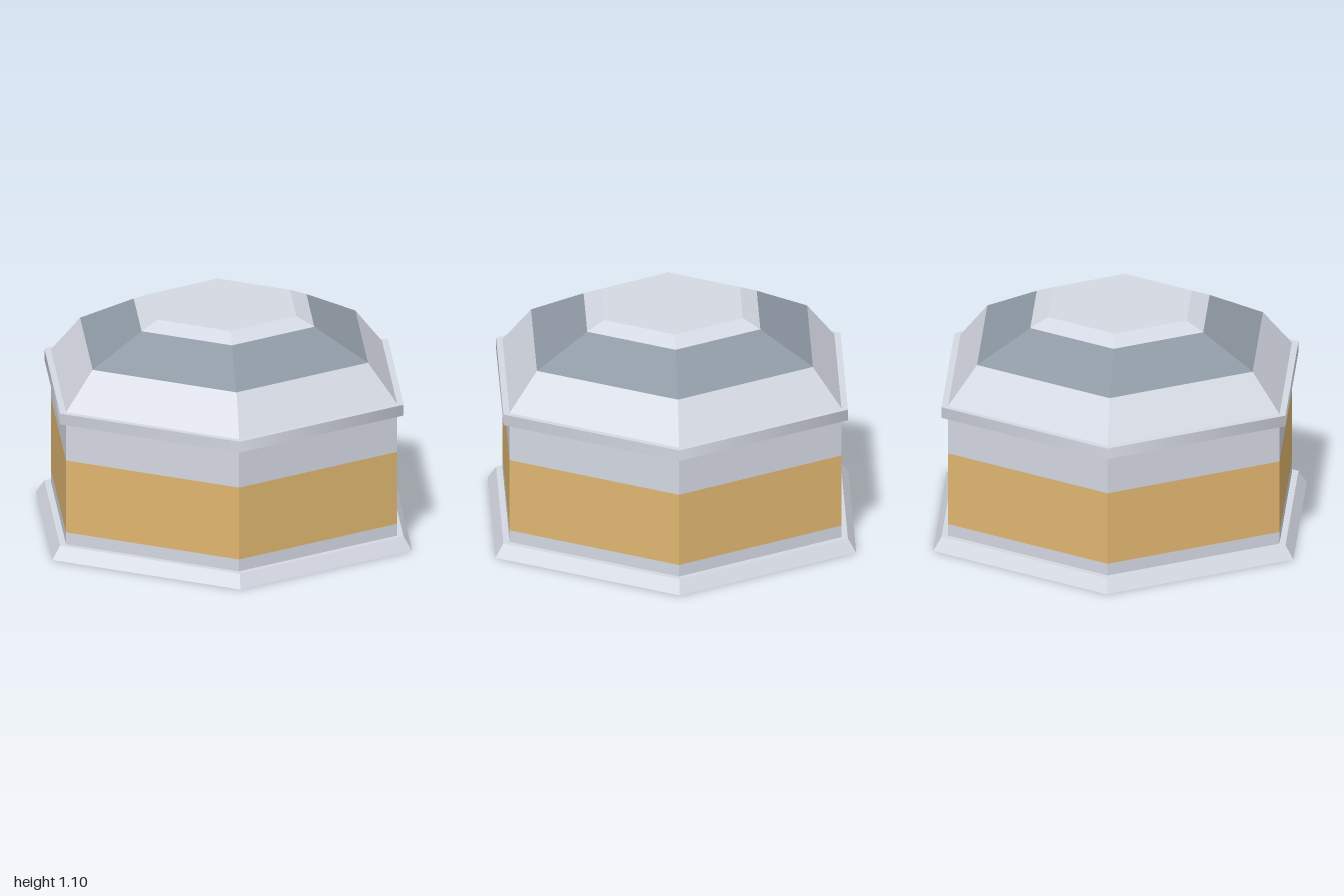
import * as THREE from 'three';

const paleMetal = new THREE.MeshStandardMaterial({ color: 0xd4d8e2 });
paleMetal.name = 'paleMetal';
const slate = new THREE.MeshStandardMaterial({ color: 0x8e98a3 });
slate.name = 'slate';
const amber = new THREE.MeshStandardMaterial({ color: 0xe0b670 });
amber.name = 'amber';

// Six-sided ring or prism with corners on the x axis
function hexSection(name, material, r0, y0, r1, y1, { capped = false, smooth = false } = {}) {
  let geometry = new THREE.CylinderGeometry(r1, r0, y1 - y0, 6, 1, !capped, Math.PI / 2);
  if (!smooth) {
    geometry = geometry.toNonIndexed();
    geometry.computeVertexNormals();
  }
  geometry.translate(0, (y0 + y1) / 2, 0);
  const mesh = new THREE.Mesh(geometry, material);
  mesh.name = name;
  return mesh;
}

export function createModel() {
  const model = new THREE.Group();
  model.name = 'hexagonalPavilion';

  // Sloped plinth
  model.add(hexSection('basePlinth', paleMetal, 1, 0, 0.955, 0.065, { capped: true }));

  // Wall with a broad amber band
  const wall = new THREE.Group();
  wall.name = 'wall';
  wall.add(
    hexSection('lowerWall', paleMetal, 0.92, 0.065, 0.92, 0.125),
    hexSection('amberBand', amber, 0.92, 0.125, 0.92, 0.49),
    hexSection('upperWall', paleMetal, 0.92, 0.49, 0.92, 0.68)
  );
  model.add(wall);

  // Softly shaded cornice
  model.add(hexSection('cornice', paleMetal, 0.955, 0.68, 0.955, 0.735, { capped: true, smooth: true }));

  // Stepped-slope roof with a flat top
  const roof = new THREE.Group();
  roof.name = 'roof';
  roof.add(
    hexSection('lowerRoof', paleMetal, 0.92, 0.735, 0.765, 0.92),
    hexSection('slateRoof', slate, 0.765, 0.92, 0.48, 1.06),
    hexSection('roofCap', paleMetal, 0.48, 1.06, 0.385, 1.1, { capped: true })
  );
  model.add(roof);

  return model;
}
